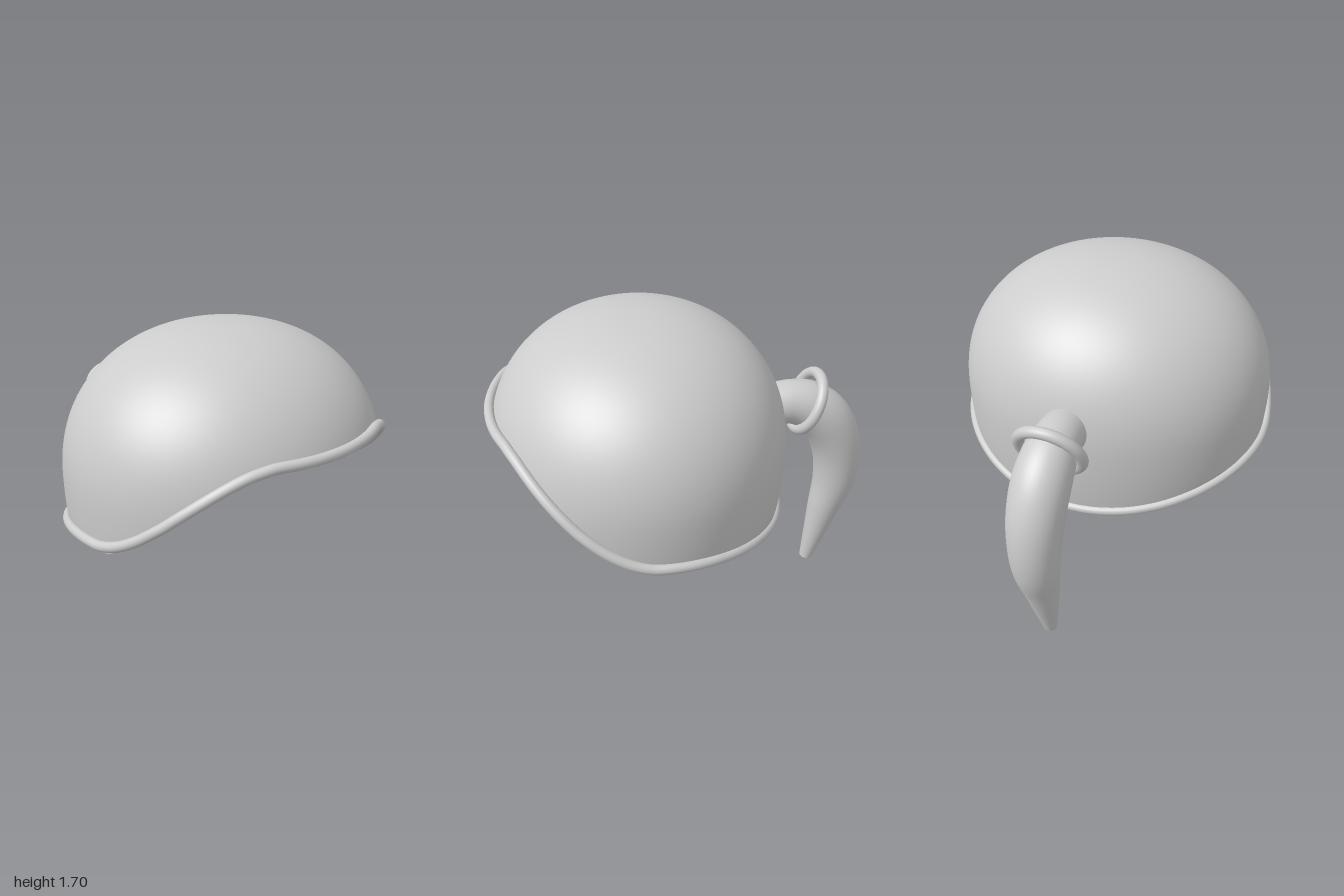
import * as THREE from 'three';

const V = (x, y, z) => new THREE.Vector3(x, y, z);

// Smooth skin over rows of closed cross-sections; point(row 0..1, angle) gives each vertex.
function loft(rows, cols, point) {
  const pos = [], index = [];
  for (let i = 0; i <= rows; i++) {
    for (let j = 0; j < cols; j++) {
      pos.push(...point(i / rows, (j / cols) * Math.PI * 2).toArray());
      if (i === rows) continue;
      const k = (j + 1) % cols;
      const a = i * cols + j, b = a + cols, c = (i + 1) * cols + k, d = i * cols + k;
      index.push(a, b, c, a, c, d);
    }
  }
  const g = new THREE.BufferGeometry();
  g.setAttribute('position', new THREE.Float32BufferAttribute(pos, 3));
  g.setIndex(index);
  g.computeVertexNormals();
  return g;
}

// Dome: superellipse above its widest level, slight tuck below it
const TOP = 1.7, WIDE = 1.0, CZ = 0.23, P = 2.2;
function domeRadius(y) {
  if (y < WIDE) return Math.sqrt(1 - ((WIDE - y) / 1.3) ** 2);
  return Math.max(0, 1 - ((y - WIDE) / (TOP - WIDE)) ** P) ** (1 / P);
}
function domePoint(a, y, grow = 0) {
  const r = domeRadius(y), c = Math.cos(a);
  return V(Math.sin(a) * (0.82 * r + grow), y, CZ + c * ((c > 0 ? 0.76 : 0.745) * r + grow));
}

// Height of the lower edge, from back to front: [z, y]
const EDGE = [[-0.5, 0.63], [-0.4, 0.675], [-0.3, 0.715], [-0.2, 0.747], [-0.1, 0.772], [0, 0.793],
  [0.1, 0.807], [0.2, 0.815], [0.3, 0.823], [0.4, 0.858], [0.5, 0.918], [0.6, 1.0], [0.7, 1.1],
  [0.8, 1.205], [0.84, 1.24], [0.88, 1.26], [1.1, 1.26]];
function edgeHeight(z) {
  let i = 0;
  while (i < EDGE.length - 2 && z > EDGE[i + 1][0]) i++;
  const [z0, y0] = EDGE[i], [z1, y1] = EDGE[i + 1];
  return y0 + (y1 - y0) * THREE.MathUtils.clamp((z - z0) / (z1 - z0), 0, 1);
}
function rimHeight(a) {
  let y = 0.9;
  for (let i = 0; i < 30; i++) y = (y + edgeHeight(domePoint(a, y).z)) / 2;
  return y;
}

export function createModel() {
  const model = new THREE.Group();
  const grey = new THREE.MeshStandardMaterial({ color: 0xcccccc, side: THREE.DoubleSide });
  grey.name = 'light grey';
  const add = (name, geometry) => {
    const mesh = new THREE.Mesh(geometry, grey);
    mesh.name = name;
    model.add(mesh);
    return mesh;
  };

  // Open shell
  add('shell', loft(48, 128, (t, a) => domePoint(a, TOP - (TOP - rimHeight(a)) * t * t)));

  // Rolled rim, slightly proud of the shell at the front
  const rimPoints = [];
  for (let i = 0; i < 96; i++) {
    const a = (i / 96) * Math.PI * 2;
    rimPoints.push(domePoint(a, rimHeight(a), 0.009 + 0.011 * Math.cos(a)));
  }
  const rimCurve = new THREE.CatmullRomCurve3(rimPoints, true);
  add('rim', new THREE.TubeGeometry(rimCurve, 240, 0.025, 14, true));

  // Tail: each point holds radius, height and depth of the centre line
  const tail = new THREE.CatmullRomCurve3([
    V(0.115, 1.12, -0.49), V(0.118, 1.125, -0.57), V(0.13, 1.1, -0.66), V(0.14, 1.02, -0.76),
    V(0.138, 0.89, -0.835), V(0.13, 0.74, -0.87), V(0.118, 0.58, -0.87),
    V(0.094, 0.4, -0.833), V(0.065, 0.2, -0.793), V(0.037, 0.012, -0.755),
  ]);
  const along = (t) => {
    const p = tail.getPoint(t), d = tail.getTangent(t);
    return { r: p.x, centre: V(0, p.y, p.z), dir: V(0, d.y, d.z).normalize() };
  };
  add('tail', loft(64, 40, (t, a) => {
    const { r, centre, dir } = along(t);
    return centre.add(V(r * Math.cos(a), -dir.z * r * Math.sin(a), dir.y * r * Math.sin(a)));
  }));

  // Flat ends of the tail
  for (const [name, t, sign] of [['tailRoot', 0, -1], ['tailTip', 1, 1]]) {
    const { r, centre, dir } = along(t);
    const cap = add(name, new THREE.CircleGeometry(r, 40));
    cap.position.copy(centre);
    cap.lookAt(centre.clone().addScaledVector(dir, sign));
  }

  // Tilted band around the tail
  const band = add('tailBand', new THREE.TorusGeometry(0.157, 0.029, 16, 56));
  band.position.set(0, 1.12, -0.658);
  band.lookAt(0, 1.12 - 0.4, -0.658 - 0.92);

  return model;
}
